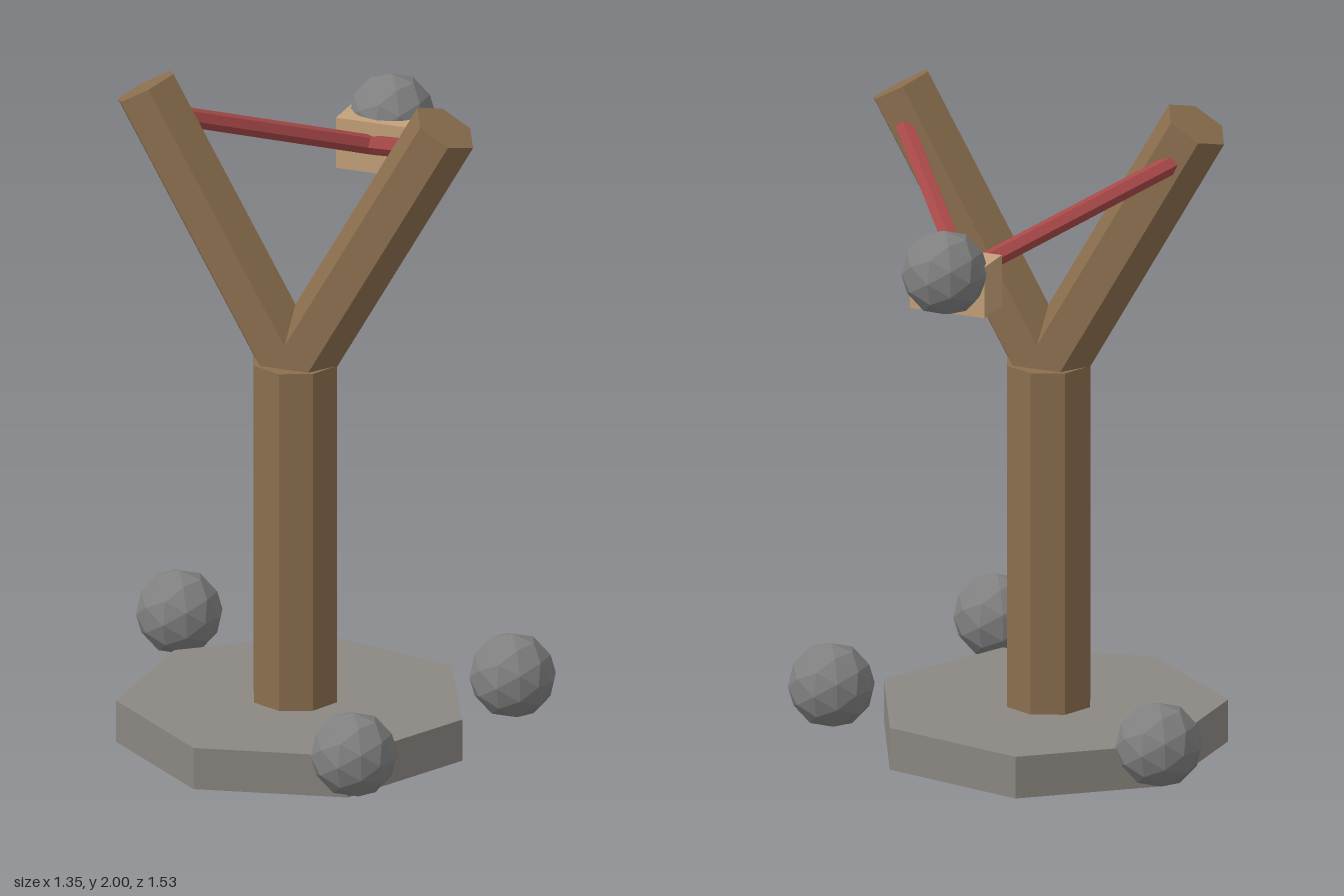
import * as THREE from 'three';

const CX = -0.03, CZ = 0.115; // axis of the post
const mat = (color) => new THREE.MeshStandardMaterial({ color, flatShading: true });

export function createModel() {
  const model = new THREE.Group();
  model.name = 'slingshotTower';
  const wood = mat(0x8b6f4e), slab = mat(0x8b8782), stone = mat(0x808080);
  const leather = mat(0xc4a27a), rubber = mat(0xa84848);

  const add = (name, geometry, material, x, y, z) => {
    const mesh = new THREE.Mesh(geometry, material);
    mesh.name = name;
    mesh.position.set(x, y, z);
    model.add(mesh);
    return mesh;
  };

  // Straight prism between two points
  const rod = (name, a, b, radius, sides, start, material) => {
    const dir = b.clone().sub(a);
    const mid = a.clone().add(b).multiplyScalar(0.5);
    const geometry = new THREE.CylinderGeometry(radius, radius, dir.length(), sides, 1, false, start);
    const mesh = add(name, geometry, material, mid.x, mid.y, mid.z);
    mesh.quaternion.setFromUnitVectors(new THREE.Vector3(0, 1, 0), dir.normalize());
    return mesh;
  };

  // Seven-sided base, lifted a hair so the post end shows underneath
  add('base', new THREE.CylinderGeometry(0.52, 0.52, 0.127, 7, 1, false, Math.PI / 2), slab, CX, 0.0665, CZ);

  // Eight-sided post
  add('post', new THREE.CylinderGeometry(0.13, 0.13, 1.17, 8), wood, CX, 0.585, CZ);

  // Fork arms and the bands pulled back to the pouch
  for (const [side, s] of [['left', 1], ['right', -1]]) {
    rod(side + 'Arm', new THREE.Vector3(CX, 1.141, CZ), new THREE.Vector3(CX + s * 0.467, 1.95, CZ),
      0.1, 6, Math.PI / 2, wood);
    rod(side + 'Band', new THREE.Vector3(CX + s * 0.433, 1.852, 0.06), new THREE.Vector3(CX, 1.62, -0.5),
      0.029, 6, 0, rubber);
  }

  // Pouch with its loaded stone
  add('pouch', new THREE.BoxGeometry(0.235, 0.155, 0.125), leather, CX, 1.613, -0.557);
  const ball = new THREE.IcosahedronGeometry(0.127, 1);
  add('loadedStone', ball, stone, CX, 1.665, -0.638);

  // Spare stones around the base
  [[-0.548, -0.275], [0.543, -0.145], [0.36, 0.635]].forEach(([x, z], i) =>
    add('spareStone' + (i + 1), ball, stone, x, 0.185, z));

  return model;
}
